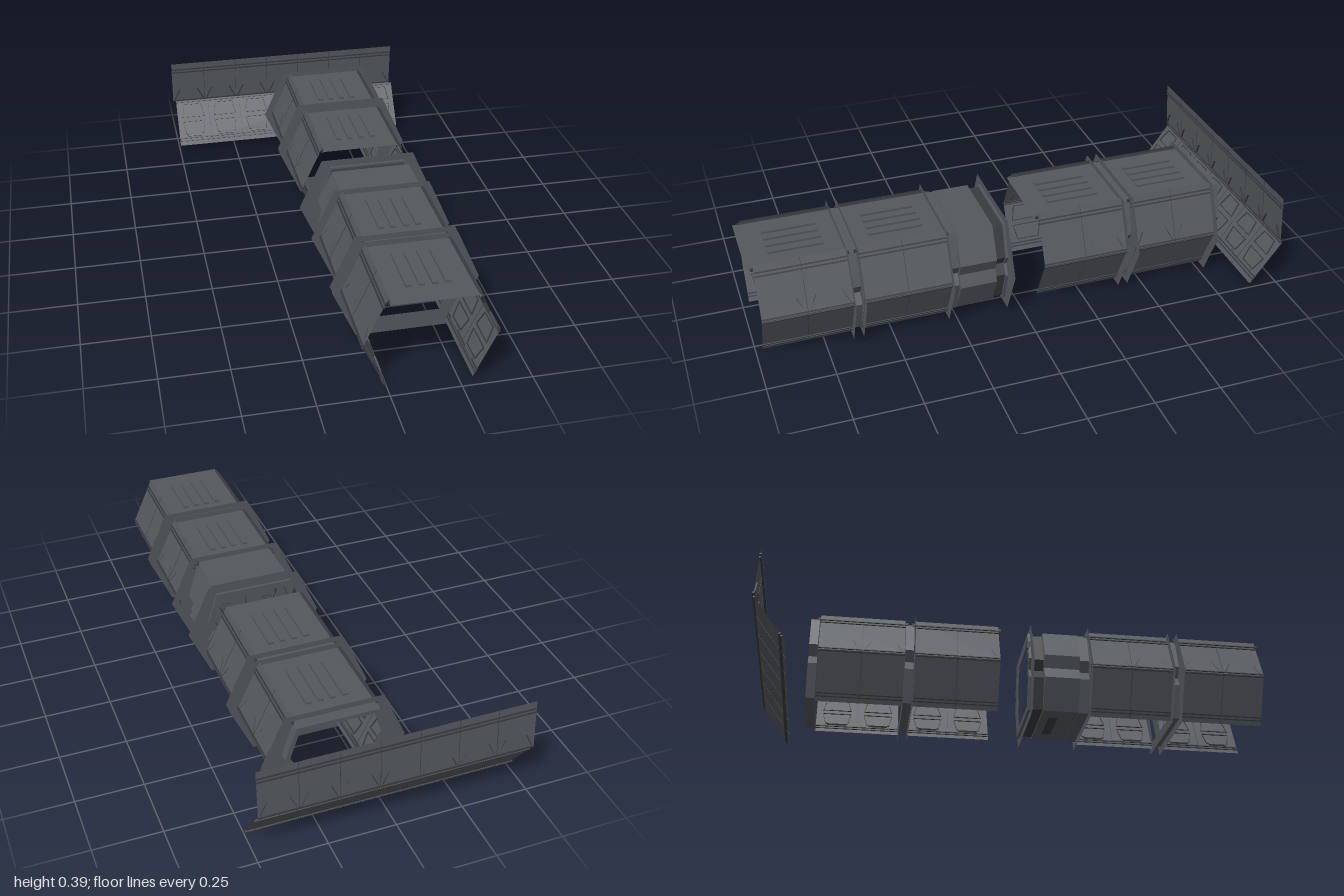
import * as THREE from 'three';

const flat = (name, color, side = THREE.FrontSide) => {
  const m = new THREE.MeshStandardMaterial({ color, side });
  m.name = name;
  return m;
};
const steel = flat('steel grey', 0x54585d);
const sheet = flat('sheet steel grey', 0x54585d, THREE.DoubleSide);
const dark = flat('dark trim', 0x393c3f);

function add(parent, name, geometry, material, x = 0, y = 0, z = 0) {
  const mesh = new THREE.Mesh(geometry, material);
  mesh.name = name;
  mesh.position.set(x, y, z);
  parent.add(mesh);
  return mesh;
}
const box = (w, h, d) => new THREE.BoxGeometry(w, h, d);

// Closed outline mirrored about x = 0 from its right half, listed top to bottom
function outline(half, scale = 1, cy = 0.195) {
  const pts = half.map(([x, y]) => new THREE.Vector2(x * scale, cy + (y - cy) * scale));
  const left = pts.map(p => new THREE.Vector2(-p.x, p.y)).reverse();
  return [...pts, ...left];
}
function ringShape(outer, inner) {
  const shape = new THREE.Shape(outer);
  if (inner) shape.holes.push(new THREE.Path(inner));
  return shape;
}
const prism = (shape, depth) => new THREE.ExtrudeGeometry(shape, { depth, bevelEnabled: false });

const HEX = [[0.18, 0.388], [0.267, 0.194], [0.18, 0]];
const RIB = [[0.15, 0.362], [0.19, 0.235], [0.165, 0.195], [0.19, 0.155], [0.15, 0.028]];
const BODY = [[0.15, 0.365], [0.205, 0.245], [0.185, 0.197], [0.205, 0.15], [0.15, 0.03]];
const DOOR = [[0.085, 0.355], [0.125, 0.26], [0.095, 0.197], [0.125, 0.13], [0.085, 0.032]];

// Trapezoid frame standing on a panel
function trapezoid(bottom, top, h) {
  const quad = t => [[-bottom / 2 + t, t], [bottom / 2 - t, t], [top / 2 - t, h - t], [-top / 2 + t, h - t]]
    .map(p => new THREE.Vector2(...p));
  return prism(ringShape(quad(0), quad(0.003)), 0.004);
}

// Upper and lower sloping sheets; length on x, crease at the back, inside facing +z
function sidePanels(length, topIn, topRise, footIn, footDrop, shift = 0) {
  const g = new THREE.Group();
  g.name = 'sidePanels';
  const n = Math.max(2, Math.round(length / 0.142));
  const pitch = length / n;

  const upper = new THREE.Group();
  upper.name = 'upperPanel';
  upper.rotation.x = Math.atan2(topIn, topRise);
  upper.position.x = -shift;
  const hu = Math.hypot(topIn, topRise);
  add(upper, 'upperSheet', new THREE.PlaneGeometry(length, hu), sheet, 0, hu / 2, 0);
  for (const v of [0.006, hu - 0.028, hu - 0.042])
    add(upper, 'upperRail', box(length, 0.005, 0.008), dark, 0, v, 0);

  const lower = new THREE.Group();
  lower.name = 'lowerPanel';
  lower.rotation.x = -Math.atan2(footIn, footDrop);
  lower.position.x = shift;
  const hl = Math.hypot(footIn, footDrop);
  add(lower, 'lowerSheet', new THREE.PlaneGeometry(length, hl), sheet, 0, -hl / 2, 0);
  for (const v of [0.006, hl - 0.02, hl - 0.032])
    add(lower, 'lowerRail', box(length, 0.005, 0.008), dark, 0, -v, 0);

  // Repeating bays with slanted struts above and framed plates below
  for (let i = 0; i < n; i++) {
    const x = (i + 0.5) * pitch - length / 2;
    for (const s of [-1, 1]) {
      const strut = add(upper, 'strut', box(0.004, 0.055, 0.006), dark, x + s * pitch * 0.36, 0.036, 0.003);
      strut.rotation.z = s * 0.45;
    }
    add(lower, 'plateFrameTop', trapezoid(pitch * 0.7, pitch * 0.55, hl * 0.3), dark, x, -hl * 0.38, 0.001);
    add(lower, 'plateFrameBottom', trapezoid(pitch * 0.55, pitch * 0.7, hl * 0.3), dark, x, -hl * 0.77, 0.001);
    add(lower, 'footPad', box(pitch * 0.45, 0.008, 0.01), steel, x, -hl * 0.79, 0.005);
    if (i) {
      add(upper, 'seam', box(0.0015, hu, 0.002), dark, x - pitch / 2, hu / 2, 0);
      add(lower, 'seam', box(0.0015, hl, 0.002), dark, x - pitch / 2, -hl / 2, 0);
    }
  }
  g.add(upper, lower);
  return g;
}

function flange(parent, z) {
  add(parent, 'hexFlange', new THREE.ShapeGeometry(ringShape(outline(HEX), outline(RIB, 0.92))), sheet, 0, 0, z);
}
function rib(parent, z, depth) {
  add(parent, 'rib', prism(ringShape(outline(RIB), outline(RIB, 0.92)), depth), steel, 0, 0, z);
}

// One corridor bay: roof, two sloping sides, roof bars
function bay(zMid) {
  const g = new THREE.Group();
  g.name = 'corridorBay';
  for (const s of [-1, 1]) {
    const side = sidePanels(0.33, 0.085, 0.185, 0.085, 0.18);
    side.rotation.y = -s * Math.PI / 2;
    side.position.set(s * 0.235, 0.196, zMid);
    g.add(side);
    add(g, 'roofEdge', box(0.008, 0.01, 0.35), dark, s * 0.151, 0.364, zMid);
  }
  for (let i = 0; i < 4; i++)
    add(g, 'roofBar', box(0.02, 0.009, 0.2), steel, (i - 1.5) * 0.045, 0.371, zMid);
  return g;
}

function roof(parent, z0, z1) {
  const mesh = add(parent, 'roof', new THREE.PlaneGeometry(0.302, z1 - z0), sheet, 0, 0.367, (z0 + z1) / 2);
  mesh.rotation.x = -Math.PI / 2;
}

// Doorway body with a two-leaf door, closing the front corridor
function doorway() {
  const g = new THREE.Group();
  g.name = 'doorway';
  rib(g, 0.24, 0.04);
  add(g, 'doorwayBody', prism(ringShape(outline(BODY), outline(RIB, 0.9)), 0.14), steel, 0, 0, 0.1);
  add(g, 'doorwayNeck', prism(ringShape(outline(RIB, 0.95), outline(RIB, 0.84)), 0.04), dark, 0, 0, 0.06);
  add(g, 'doorwayLip', prism(ringShape(outline(RIB, 0.99), outline(RIB, 0.84)), 0.02), steel, 0, 0, 0.04);
  add(g, 'innerFrame', prism(ringShape(outline(RIB, 0.93), outline(DOOR, 0.97)), 0.03), steel, 0, 0, 0.135);
  add(g, 'frameTrim', prism(ringShape(outline(DOOR, 1.02), outline(DOOR, 0.96)), 0.036), dark, 0, 0, 0.132);
  add(g, 'door', prism(ringShape(outline(DOOR)), 0.012), steel, 0, 0, 0.144);
  add(g, 'doorSeam', box(0.003, 0.32, 0.015), dark, 0, 0.194, 0.15);
  for (const s of [-1, 1]) for (const v of [-1, 1]) {
    const tri = [[0.11, 0.005], [0.066, 0.042], [0.106, 0.042]]
      .map(([x, y]) => new THREE.Vector2(s * x, 0.197 + v * y));
    const hole = tri.map(p => new THREE.Vector2(s * 0.094 + (p.x - s * 0.094) * 0.84,
      0.197 + v * 0.03 + (p.y - 0.197 - v * 0.03) * 0.84));
    add(g, 'doorChevron', prism(ringShape(tri, hole), 0.015), dark, 0, 0, 0.1425);
  }
  add(g, 'latch', box(0.012, 0.03, 0.015), dark, -0.165, 0.3, 0.042);
  flange(g, 0.05);
  return g;
}

export function createModel() {
  const model = new THREE.Group();
  model.name = 'corridorKit';

  const corridor = new THREE.Group();
  corridor.name = 'corridor';
  corridor.position.x = 0.143;
  for (const z of [0.81, 0.443, -0.243, -0.61]) corridor.add(bay(z));
  roof(corridor, 0.255, 1);
  roof(corridor, -0.81, -0.06);

  // Ribs and flat flanges between bays
  for (const z of [0.608, -0.445, -0.812]) rib(corridor, z, 0.035);
  for (const z of [0.645, 0.607, 0.28, -0.408, -0.446, -0.776]) flange(corridor, z);
  corridor.add(doorway());
  model.add(corridor);

  // Freestanding wall behind the corridor
  const wall = sidePanels(1.005, 0.015, 0.19, 0.12, 0.165, 0.006);
  wall.name = 'endWall';
  wall.position.set(0, 0.19, -0.998);
  model.add(wall);
  return model;
}
